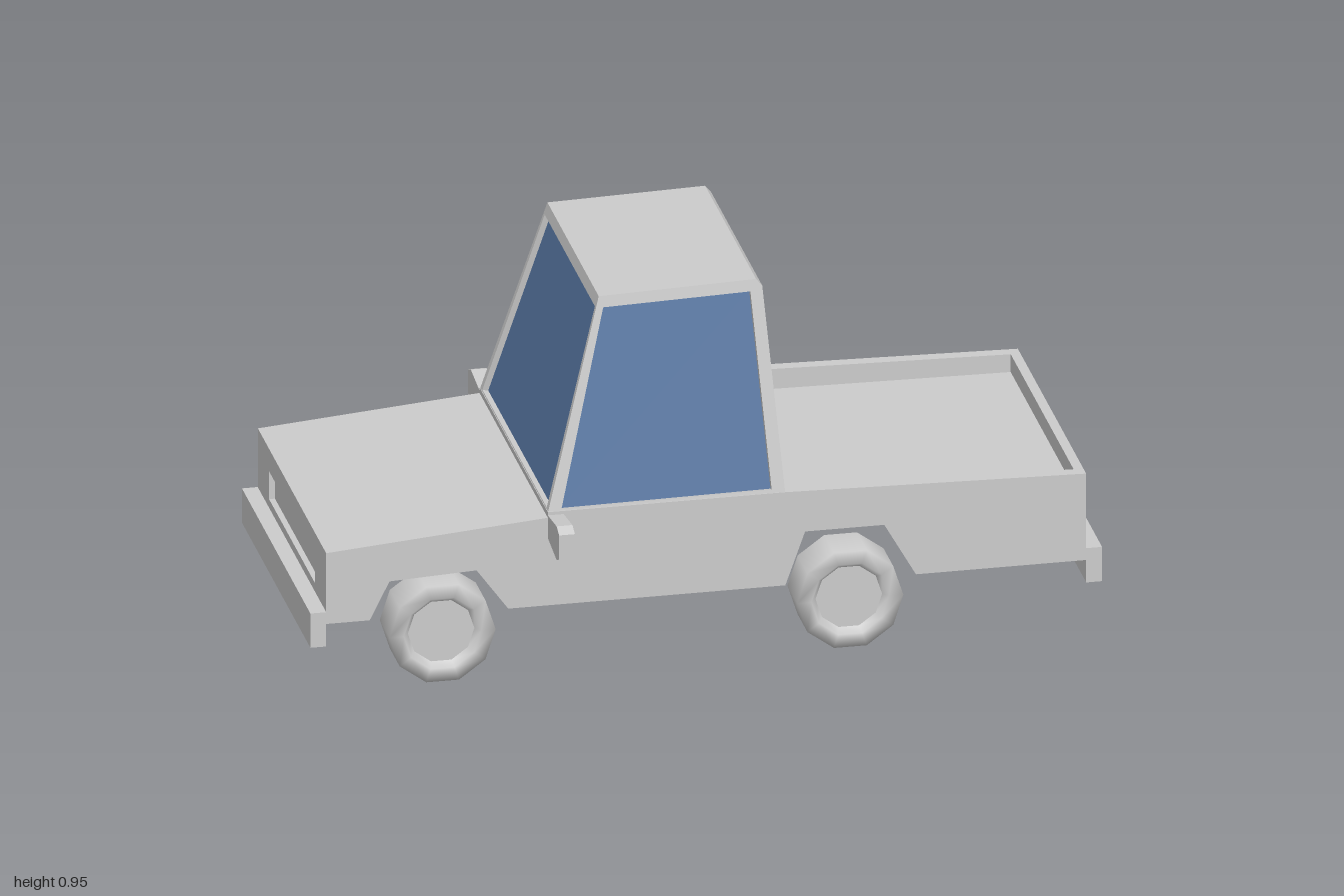
import * as THREE from 'three';

const paint = new THREE.MeshStandardMaterial({ color: 0xcccccc });
const rubber = new THREE.MeshStandardMaterial({ color: 0xcccccc, side: THREE.DoubleSide });
const glass = new THREE.MeshStandardMaterial({ color: 0x5878a4 });
const P = (x, y, z) => new THREE.Vector3(x, y, z);

function add(parent, name, geometry, material = paint) {
  const mesh = new THREE.Mesh(geometry, material);
  mesh.name = name;
  parent.add(mesh);
  return mesh;
}

// Flat-shaded surface from polygons with corners counter-clockwise as seen from outside
function facets(polygons) {
  const points = [];
  for (const p of polygons)
    for (let i = 2; i < p.length; i++) points.push(p[0], p[i - 1], p[i]);
  const geometry = new THREE.BufferGeometry().setFromPoints(points);
  geometry.computeVertexNormals();
  return geometry;
}

// Side outline of the body, with optional bed and grille recesses
function bodyOutline(bed, grille) {
  const pts = [[-0.96, 0.165], [-0.85, 0.165], [-0.8, 0.265], [-0.58, 0.275], [-0.5, 0.165],
    [0.2, 0.165], [0.25, 0.305], [0.45, 0.305], [0.53, 0.165], [0.96, 0.165], [0.96, 0.397]];
  if (bed) pts.push([0.935, 0.398], [0.935, 0.35], [0.23, 0.36], [0.23, 0.414]);
  pts.push([0.2, 0.415], [-0.4, 0.415], [-0.4, 0.4], [-0.96, 0.355]);
  if (grille) pts.push([-0.96, 0.295], [-0.945, 0.295], [-0.945, 0.22], [-0.96, 0.22]);
  return new THREE.Shape(pts.map(([x, y]) => new THREE.Vector2(x, y)));
}

function makeBody() {
  const body = new THREE.Group();
  body.name = 'body';
  const cuts = [-0.402, -0.37, -0.27, 0.27, 0.37, 0.402];
  for (let i = 0; i < 5; i++) {
    const outline = bodyOutline(i > 0 && i < 4, i === 2);
    const slab = new THREE.ExtrudeGeometry(outline, { depth: cuts[i + 1] - cuts[i], bevelEnabled: false });
    slab.translate(0, 0, cuts[i]);
    add(body, i === 0 || i === 4 ? 'bodySide' : 'bodyCore', slab);
  }
  return body;
}

// Framed window: corners run bottom left, bottom right, top right, top left
function addWindow(parent, name, corners, bottomInset, topInset) {
  const [bl, br, tr, tl] = corners;
  const at = (u, v) => bl.clone().lerp(br, u).lerp(tl.clone().lerp(tr, u), v);
  const inner = [at(bottomInset, 0.015), at(1 - bottomInset, 0.015), at(1 - topInset, 0.945), at(topInset, 0.945)];
  const inward = br.clone().sub(bl).cross(tl.clone().sub(bl)).normalize().multiplyScalar(-0.015);
  const back = inner.map((p) => p.clone().add(inward));
  const frame = [];
  for (let i = 0; i < 4; i++) {
    const j = (i + 1) % 4;
    frame.push([corners[i], corners[j], inner[j], inner[i]], [inner[i], inner[j], back[j], back[i]]);
  }
  add(parent, name + 'Frame', facets(frame));
  add(parent, name + 'Glass', facets([back]), glass);
}

function makeCabin() {
  const cabin = new THREE.Group();
  cabin.name = 'cabin';
  // Corner points for the right (0) and left (1) side of the frame
  const pair = (x, y, z) => [P(x, y, -z), P(x, y, z)];
  const frontBase = pair(-0.4, 0.41, 0.4), rearBase = pair(0.2, 0.415, 0.4);
  const frontTop = pair(-0.25, 0.94, 0.302), rearTop = pair(0.148, 0.95, 0.3);
  const rearEdge = pair(0.163, 0.932, 0.303);

  addWindow(cabin, 'leftWindow', [frontBase[1], rearBase[1], rearTop[1], frontTop[1]], 0.055, 0.045);
  addWindow(cabin, 'rightWindow', [rearBase[0], frontBase[0], frontTop[0], rearTop[0]], 0.055, 0.045);
  addWindow(cabin, 'windshield', [frontBase[0], frontBase[1], frontTop[1], frontTop[0]], 0.025, 0.02);
  addWindow(cabin, 'rearWindow', [rearBase[1], rearBase[0], rearEdge[0], rearEdge[1]], 0.025, 0.02);
  add(cabin, 'roof', facets([
    [frontTop[0], frontTop[1], rearTop[1], rearTop[0]],
    [rearTop[0], rearTop[1], rearEdge[1], rearEdge[0]],
    [rearBase[1], rearEdge[1], rearTop[1]],
    [rearBase[0], rearTop[0], rearEdge[0]],
  ]));
  return cabin;
}

// Ten-sided wheel, open on its inner side, with a recessed hub
function makeWheel(x, side) {
  const wheel = new THREE.Group();
  wheel.name = 'wheel';
  const profile = [[0.134, 0], [0.134, 0.116], [0.098, 0.116], [0.084, 0.098]]
    .map(([r, h]) => new THREE.Vector2(r, h));
  const tire = new THREE.LatheGeometry(profile, 10, Math.PI / 10);
  add(wheel, 'tire', tire.rotateX(Math.PI / 2), rubber);
  add(wheel, 'hub', new THREE.CircleGeometry(0.084, 10).translate(0, 0, 0.098), rubber);
  wheel.position.set(x, 0.128, side * 0.32);
  if (side < 0) wheel.rotation.y = Math.PI;
  return wheel;
}

// Side mirror, outlined across the truck and extruded along it
function makeMirror(side) {
  const outline = new THREE.Shape([[0.39, 0.347], [0.505, 0.33], [0.535, 0.343], [0.535, 0.408], [0.505, 0.42], [0.39, 0.405]]
    .map(([z, y]) => new THREE.Vector2(-side * z, y)));
  const geometry = new THREE.ExtrudeGeometry(outline, { depth: 0.04, bevelEnabled: false });
  geometry.rotateY(Math.PI / 2).translate(-0.4, 0, 0);
  return geometry;
}

export function createModel() {
  const truck = new THREE.Group();
  truck.name = 'pickupTruck';
  truck.add(makeBody(), makeCabin());
  for (const end of [-1, 1]) {
    const bumper = new THREE.BoxGeometry(0.04, 0.092, 0.806).translate(end * 0.98, 0.151, 0);
    add(truck, end < 0 ? 'frontBumper' : 'rearBumper', bumper);
  }
  for (const side of [-1, 1]) {
    truck.add(makeWheel(-0.673, side), makeWheel(0.357, side));
    add(truck, side > 0 ? 'leftMirror' : 'rightMirror', makeMirror(side));
  }
  return truck;
}
